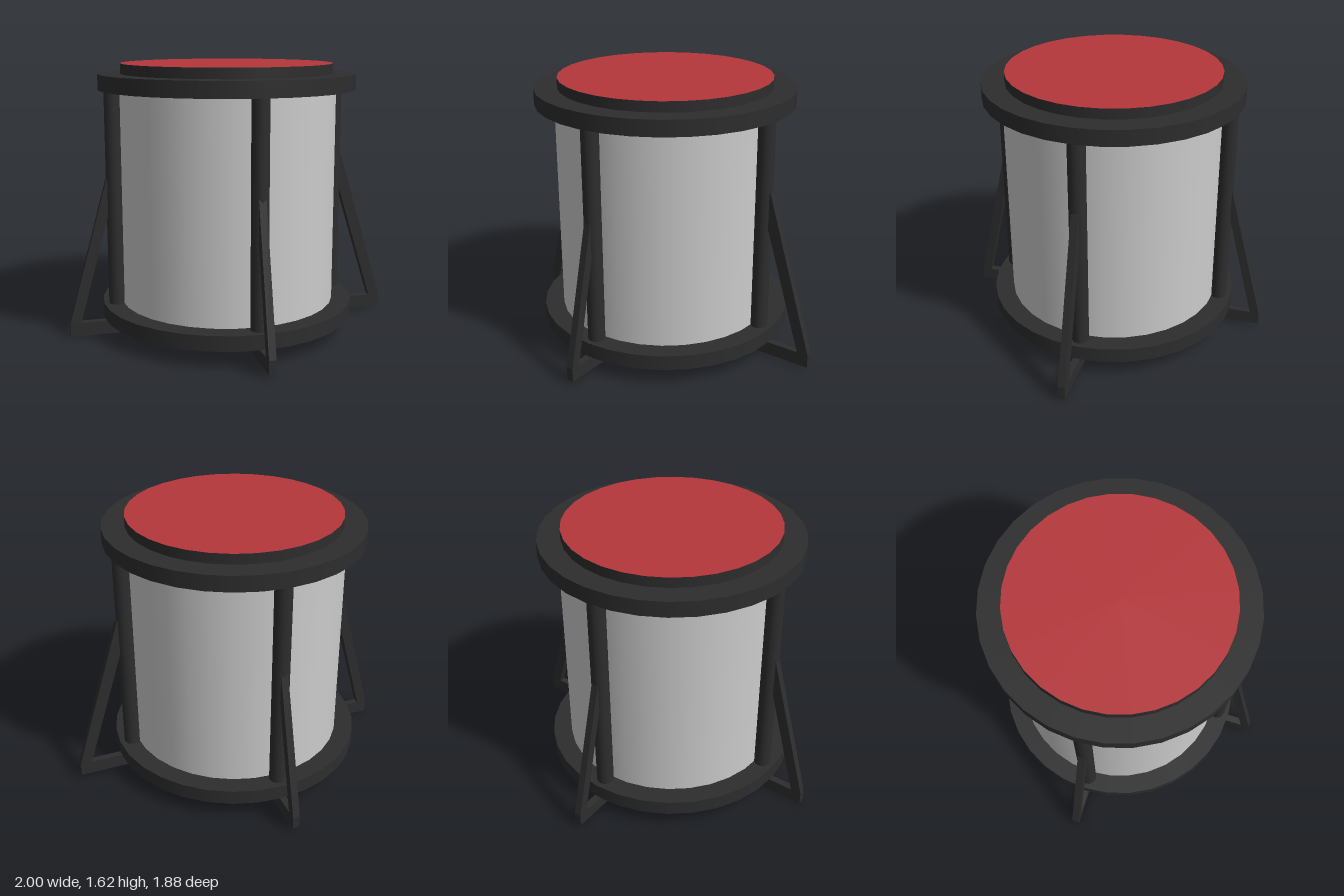
import * as THREE from 'three';

export function createModel() {
  const model = new THREE.Group();
  model.name = 'drum';
  const grey = new THREE.MeshStandardMaterial({ color: 0xcccccc });
  const dark = new THREE.MeshStandardMaterial({ color: 0x2d2d2d });
  const red = new THREE.MeshStandardMaterial({ color: 0xb5373b });
  const CX = -0.027, CZ = 0.013; // axis of the drum

  // Upright cylinder between two heights
  function cylinder(name, radius, y0, y1, material, x = CX, z = CZ, sides = 32) {
    const mesh = new THREE.Mesh(new THREE.CylinderGeometry(radius, radius, y1 - y0, sides), material);
    mesh.position.set(x, (y0 + y1) / 2, z);
    mesh.name = name;
    model.add(mesh);
  }

  // Shell, hoops and skins
  cylinder('shell', 0.65, 0.15, 1.5, grey);
  cylinder('lowerHoop', 0.765, 0.098, 0.187, dark);
  cylinder('upperHoop', 0.765, 1.463, 1.555, dark);
  cylinder('topSkin', 0.63, 1.54, 1.615, [dark, red, red]);
  cylinder('bottomSkin', 0.615, 0.072, 0.11, [dark, red, red]);

  // Bracket in its own plane: distance outward along x, height along y
  function bracket(name, angle, { inner, outer, bottom, top, width, post, peak, low }) {
    const thick = 0.042;
    const shape = new THREE.Shape();
    // continue the strut a little way into the post
    const slope = (peak - top) / (outer - post);
    const end = post - 0.03;
    shape.moveTo(inner, bottom);
    shape.lineTo(outer, bottom);
    shape.lineTo(outer, top);
    shape.lineTo(post, peak);
    shape.lineTo(end, peak);
    shape.lineTo(end, low + slope * 0.03);
    shape.lineTo(outer - width, top);
    shape.lineTo(inner, top);
    shape.closePath();
    const geometry = new THREE.ExtrudeGeometry(shape, { depth: thick, bevelEnabled: false });
    geometry.translate(0, 0, -thick / 2);
    const mesh = new THREE.Mesh(geometry, dark);
    mesh.position.set(CX, 0, CZ);
    mesh.rotation.y = angle;
    mesh.name = name;
    model.add(mesh);
  }

  // Four sides, each with a rod and a leg; distances are from the axis
  const legs = [
    ['left', 0, { inner: 0.617, outer: 1.027, bottom: 0.02, top: 0.1, width: 0.07, post: 0.737, peak: 1.04, low: 0.8 }],
    ['back', Math.PI / 2, { inner: 0.615, outer: 0.95, bottom: 0.025, top: 0.102, width: 0.056, post: 0.727, peak: 0.94, low: 0.76 }],
    ['right', Math.PI, { inner: 0.618, outer: 0.973, bottom: 0, top: 0.083, width: 0.065, post: 0.73, peak: 0.965, low: 0.73 }],
    ['front', -Math.PI / 2, { inner: 0.635, outer: 0.925, bottom: 0.02, top: 0.1, width: 0.056, post: 0.73, peak: 0.93, low: 0.7 }],
  ];
  for (const [side, angle, sizes] of legs) {
    cylinder(side + 'Rod', 0.05, 0.15, 1.5, dark,
      CX + 0.685 * Math.cos(angle), CZ - 0.685 * Math.sin(angle), 16);
    bracket(side + 'Leg', angle, sizes);
  }
  return model;
}
